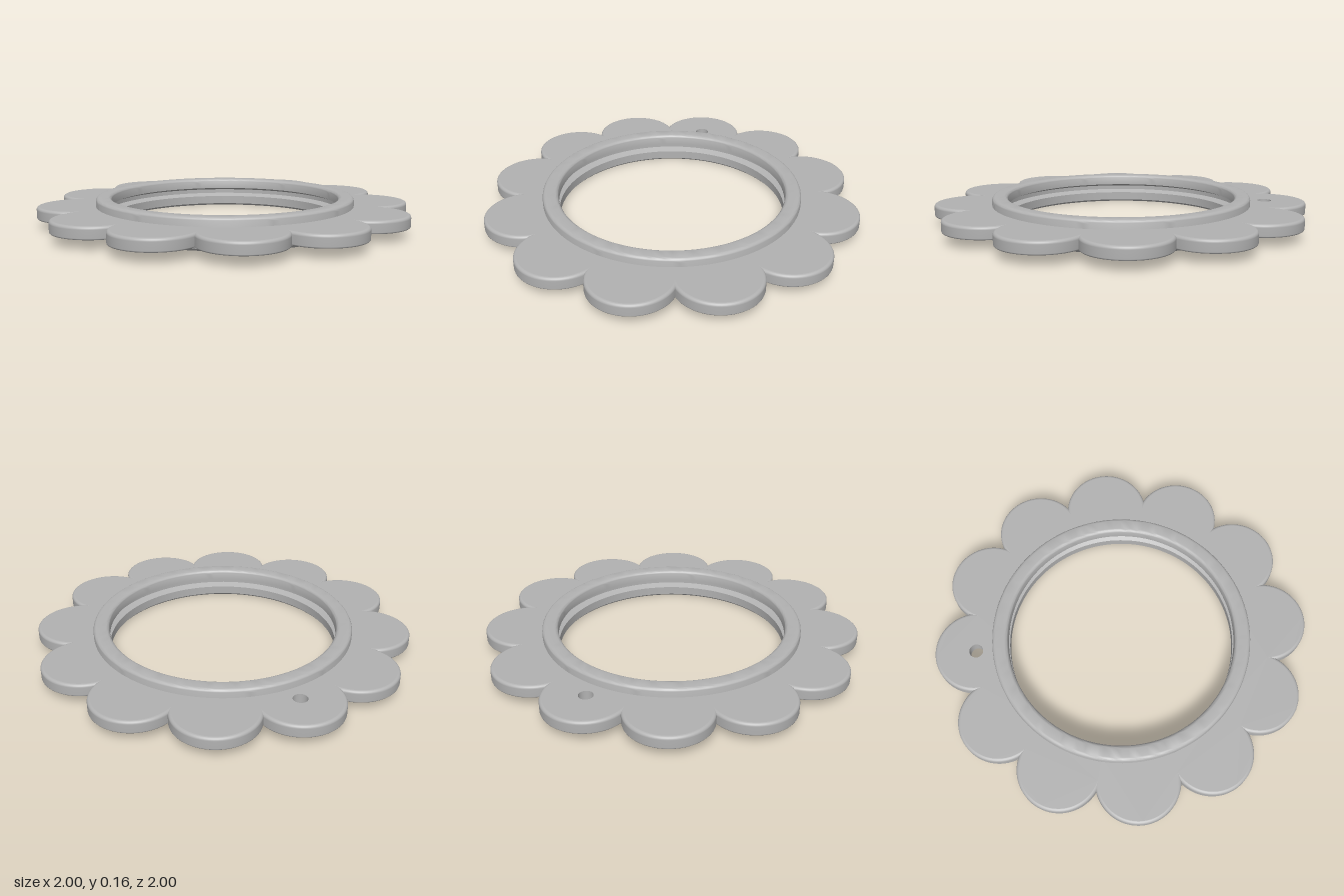
import * as THREE from 'three';
import { toCreasedNormals } from 'three/addons/utils/BufferGeometryUtils.js';

const PETALS = 12, CENTRE = 0.78, RADIUS = 0.22, HALF = Math.PI / PETALS;
// The rounding stays small enough that the inset petals still meet in the valleys
const BOTTOM = 0.05, TOP = 0.115, TOP_ROUND = 0.015, BOTTOM_ROUND = 0.008;
const HOLE = 0.037, SEGMENTS = 32;

// Point on petal k, u from 0 to 1 between its two valleys, petal radius r
function petalPoint(k, u, r) {
  const t = CENTRE * Math.cos(HALF) + Math.sqrt(r * r - (CENTRE * Math.sin(HALF)) ** 2);
  const reach = Math.atan2(t * Math.sin(HALF), t * Math.cos(HALF) - CENTRE);
  const turn = k * 2 * HALF, a = turn + (u * 2 - 1) * reach;
  return new THREE.Vector2(
    CENTRE * Math.cos(turn) + r * Math.cos(a),
    CENTRE * Math.sin(turn) + r * Math.sin(a));
}

// Quarter round as [inset, height] pairs
function quarter(size, edgeY, dir, steps = 5) {
  return Array.from({ length: steps + 1 }, (_, i) => {
    const a = (i / steps) * Math.PI / 2;
    return [size * (1 - Math.sin(a)), edgeY + dir * size * (1 - Math.cos(a))];
  });
}

// Flat face of the scalloped plate with the centre opening and hanging hole
function plateFace(r) {
  const points = [];
  for (let k = 0; k < PETALS; k++)
    for (let i = 0; i < SEGMENTS; i++) points.push(petalPoint(k, i / SEGMENTS, r));
  const shape = new THREE.Shape(points);
  shape.holes.push(new THREE.Path().absarc(0, 0, 0.66, 0, Math.PI * 2, true));
  shape.holes.push(new THREE.Path().absarc(0, CENTRE, HOLE, 0, Math.PI * 2, true));
  return new THREE.ShapeGeometry(shape, 48);
}

// Rounded rim of one petal
function petalRim(k) {
  const profile = [...quarter(TOP_ROUND, TOP, -1), ...quarter(BOTTOM_ROUND, BOTTOM, 1, 3).reverse()];
  const geometry = new THREE.PlaneGeometry(1, 1, SEGMENTS, profile.length - 1);
  const pos = geometry.attributes.position;
  for (let i = 0; i < pos.count; i++) {
    const [inset, y] = profile[Math.floor(i / (SEGMENTS + 1))];
    const p = petalPoint(k, (i % (SEGMENTS + 1)) / SEGMENTS, RADIUS - inset);
    pos.setXYZ(i, p.x, y, -p.y);
  }
  geometry.computeVertexNormals();
  return geometry;
}

export function createModel() {
  const model = new THREE.Group();
  model.name = 'flowerFrame';
  const grey = new THREE.MeshStandardMaterial({ color: 0xb2b2b2 });
  grey.name = 'grey';
  const add = (name, geometry, parent = model) => {
    const mesh = new THREE.Mesh(geometry, grey);
    mesh.name = name;
    parent.add(mesh);
  };

  // Scalloped plate
  const plate = new THREE.Group();
  plate.name = 'petalPlate';
  model.add(plate);
  add('plateTop', plateFace(RADIUS - TOP_ROUND).rotateX(-Math.PI / 2).translate(0, TOP, 0), plate);
  const under = plateFace(RADIUS - BOTTOM_ROUND).rotateX(-Math.PI / 2).translate(0, BOTTOM, 0);
  under.index.array.reverse();
  under.computeVertexNormals();
  add('plateUnderside', under, plate);
  for (let k = 0; k < PETALS; k++) add('petalRim', petalRim(k), plate);

  // Wall of the hanging hole, facing inwards
  const wall = new THREE.CylinderGeometry(HOLE, HOLE, TOP - BOTTOM, 48, 1, true);
  wall.scale(-1, 1, 1);
  wall.computeVertexNormals();
  wall.translate(0, (TOP + BOTTOM) / 2, -CENTRE);
  add('hangingHole', wall, plate);

  // Centre ring with rounded top and a groove around the inside
  const outer = 0.69, inner = 0.605, height = 0.16;
  const topRound = quarter(0.02, height, -1);
  const profile = [
    [inner + 0.01, 0], [outer - 0.012, 0], [outer, 0.012],
    ...topRound.map(([d, y]) => [outer - d, y]).reverse(),
    ...topRound.map(([d, y]) => [inner + d, y]),
    [inner, 0.105], [0.64, 0.092], [0.64, 0.07], [inner, 0.055],
    [inner, 0.01], [inner + 0.01, 0],
  ].map(([x, y]) => new THREE.Vector2(x, y));
  add('centreRing', toCreasedNormals(new THREE.LatheGeometry(profile, 128), 0.5));

  return model;
}
